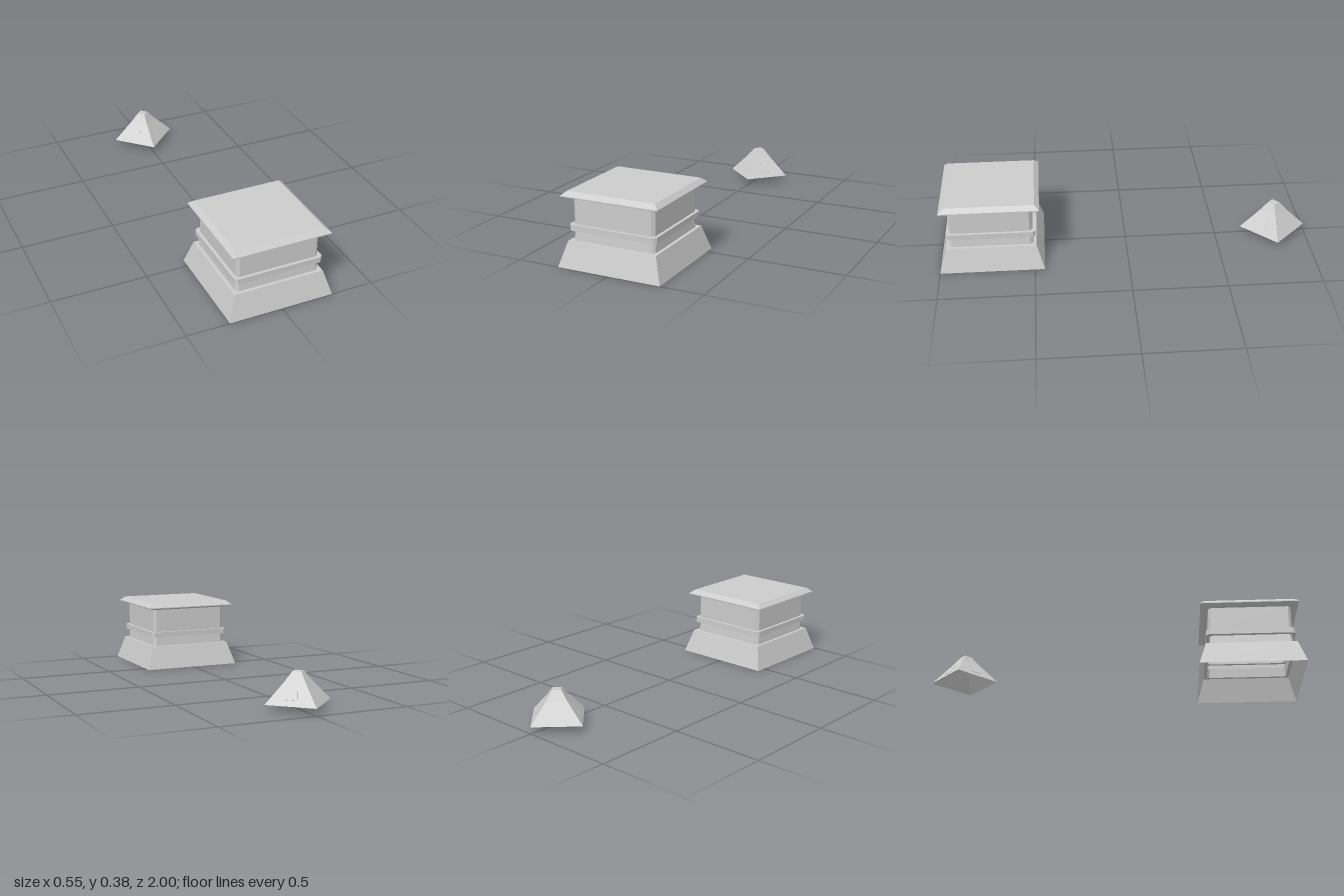
import * as THREE from 'three';

const material = new THREE.MeshStandardMaterial({ color: 0xcccccc, flatShading: true, side: THREE.DoubleSide });

// Square ring of eight points with cut corners, counter-clockwise seen from above
function ring([half, y, cut = 0]) {
  const a = half, b = half - cut;
  return [[a, b], [a, -b], [b, -a], [-b, -a], [-a, -b], [-a, b], [-b, a], [b, a]]
    .map(([x, z]) => new THREE.Vector3(x, y, z));
}

// Hollow shell through a list of [half width, height, corner cut], open below
function squareShell(name, profile, closed) {
  const points = [];
  const triangle = (a, b, c) => {
    const area = b.clone().sub(a).cross(c.clone().sub(a)).length();
    if (area > 1e-9) points.push(a, b, c);
  };
  const rings = profile.map(ring);
  for (let i = 0; i < rings.length - 1; i++) {
    const low = rings[i], high = rings[i + 1];
    for (let j = 0; j < 8; j++) {
      const k = (j + 1) % 8;
      triangle(low[j], low[k], high[k]);
      triangle(low[j], high[k], high[j]);
    }
  }
  if (closed) {
    const top = rings[rings.length - 1];
    for (let j = 1; j < 7; j++) triangle(top[0], top[j], top[j + 1]);
  }
  const geometry = new THREE.BufferGeometry().setFromPoints(points);
  geometry.computeVertexNormals();
  const mesh = new THREE.Mesh(geometry, material);
  mesh.name = name;
  return mesh;
}

export function createModel() {
  const model = new THREE.Group();

  // Pedestal: sloped foot, neck, band, body and overhanging slab
  const pedestal = new THREE.Group();
  pedestal.name = 'pedestal';
  pedestal.position.z = 0.724;
  pedestal.add(
    squareShell('foot', [[0.276, 0], [0.237, 0.128], [0.22, 0.128, 0.013]]),
    squareShell('neck', [[0.22, 0.128, 0.013], [0.215, 0.18, 0.013]]),
    squareShell('band', [[0.215, 0.18, 0.013], [0.234, 0.18, 0.014], [0.234, 0.21, 0.014], [0.218, 0.21, 0.015]]),
    squareShell('body', [[0.218, 0.21, 0.015], [0.218, 0.342, 0.015]]),
    squareShell('slab', [[0.218, 0.342, 0.015], [0.237, 0.342], [0.259, 0.351], [0.259, 0.356], [0.234, 0.377]], true),
  );

  // Hollow pyramid lid, turned by an eighth
  const lid = new THREE.Group();
  lid.name = 'pyramidLid';
  lid.position.z = -0.821;
  lid.rotation.y = Math.PI / 4;
  lid.add(
    squareShell('lidSkirt', [[0.127, 0.035], [0.054, 0.135]]),
    squareShell('lidTop', [[0.054, 0.135], [0.022, 0.185]], true),
  );

  // Thin tapered panel on each slope
  const outline = new THREE.Shape([[-0.03, -0.03], [0.03, -0.03], [0.02, 0.03], [-0.02, 0.03]]
    .map(([x, y]) => new THREE.Vector2(x, y)));
  const panelGeometry = new THREE.ExtrudeGeometry(outline, { depth: 0.002, bevelEnabled: false });
  for (let i = 0; i < 4; i++) {
    const side = new THREE.Group();
    side.name = 'panelSide';
    side.rotation.y = i * Math.PI / 2;
    const panel = new THREE.Mesh(panelGeometry, material);
    panel.name = 'panel';
    panel.position.set(0, 0.085, 0.0905);
    panel.rotation.x = -Math.atan2(0.073, 0.1);
    side.add(panel);
    lid.add(side);
  }

  model.add(pedestal, lid);
  return model;
}
